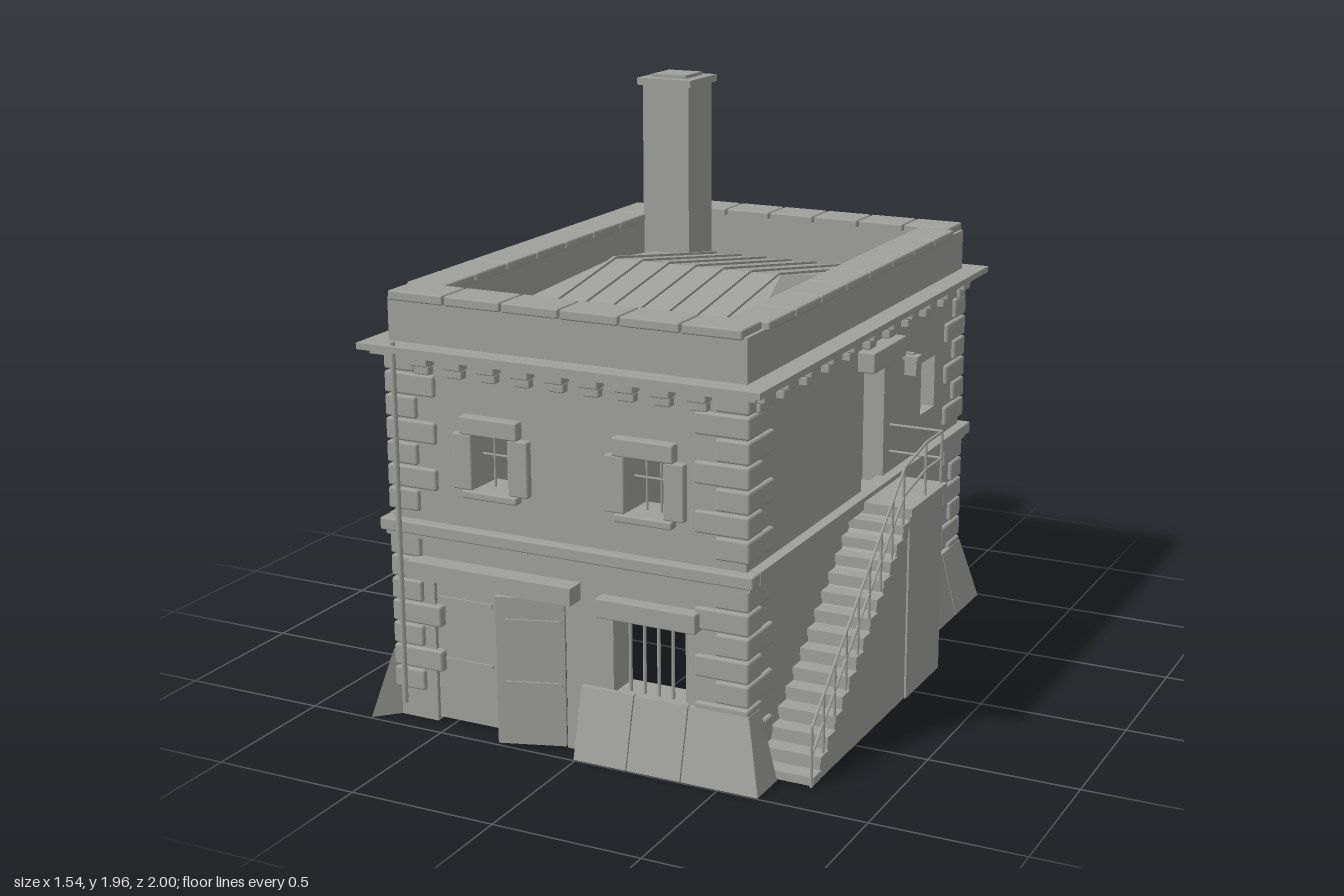
import * as THREE from 'three';
import { RoundedBoxGeometry } from 'three/addons/geometries/RoundedBoxGeometry.js';
import { ConvexGeometry } from 'three/addons/geometries/ConvexGeometry.js';

const stone = new THREE.MeshStandardMaterial({ color: 0xa0a09c, side: THREE.DoubleSide });
stone.name = 'grey stone';

// Wall extents: outer faces and thickness
const X0 = -0.7, X1 = 0.56, Z = 0.92, T = 0.125;

export function createModel() {
  const model = new THREE.Group();
  model.name = 'stoneHouse';
  const V = (x, y, z) => new THREE.Vector3(x, y, z);

  const add = (name, geo, parent = model) => {
    const m = new THREE.Mesh(geo, stone);
    m.name = name;
    parent.add(m);
    return m;
  };
  const group = (name) => {
    const g = new THREE.Group();
    g.name = name;
    model.add(g);
    return g;
  };
  // Box from min/max extents, optionally with softened edges
  const box = (name, x0, x1, y0, y1, z0, z1, parent = model, r = 0) => {
    const s = [x1 - x0, y1 - y0, z1 - z0];
    const m = add(name, r ? new RoundedBoxGeometry(...s, 1, r) : new THREE.BoxGeometry(...s), parent);
    m.position.set((x0 + x1) / 2, (y0 + y1) / 2, (z0 + z1) / 2);
    return m;
  };
  // Thin round bar between two points
  const bar = (name, a, b, r, parent) => {
    const d = b.clone().sub(a);
    const m = add(name, new THREE.CylinderGeometry(r, r, d.length(), 8), parent);
    m.position.copy(a).addScaledVector(d, 0.5);
    m.quaternion.setFromUnitVectors(V(0, 1, 0), d.normalize());
  };
  const poly = (pts) => new THREE.Shape(pts.map((p) => new THREE.Vector2(...p)));
  const wallGeo = (outline, holes) => {
    const s = poly(outline);
    for (const [a, b, c, d] of holes) s.holes.push(poly([[a, c], [a, d], [b, d], [b, c]]));
    return new THREE.ExtrudeGeometry(s, { depth: T, bevelEnabled: false });
  };

  // Walls and parapet
  const H = 1.42, W = Z - T;
  add('frontWall', wallGeo(
    [[X0, 0], [-0.56, 0], [-0.56, 0.51], [-0.07, 0.51], [-0.07, 0], [X1, 0], [X1, H], [X0, H]],
    [[-0.39, -0.255, 0.825, 1.01], [0.155, 0.29, 0.825, 1.01], [0.1, 0.36, 0.22, 0.48]])).position.z = W;
  add('backWall', wallGeo([[X0, 0], [X1, 0], [X1, H], [X0, H]], [[-0.165, 0.02, 0.22, 0.48]])).position.z = -Z;
  const side = [[-W, 0], [W, 0], [W, H], [-W, H]];
  const leftWall = add('leftWall', wallGeo(side, [[-0.02, 0.175, 0.67, 1.115], [0.525, 0.66, 0.82, 1.01]]).rotateY(Math.PI / 2));
  leftWall.position.x = X1 - T;
  add('rightWall', wallGeo(side, []).rotateY(Math.PI / 2)).position.x = X0;

  // Ring of four boxes around the walls
  const ring = (name, out, inn, y0, y1, r = 0) => {
    const g = group(name);
    for (const s of [-1, 1]) {
      const a = s * (Z + out), b = s * (Z - inn);
      box(name + 'Run', X0 - out, X1 + out, y0, y1, Math.min(a, b), Math.max(a, b), g, r);
    }
    box(name + 'Run', X0 - out, X0 + inn, y0, y1, -Z + inn, Z - inn, g);
    box(name + 'Run', X1 - inn, X1 + out, y0, y1, -Z + inn, Z - inn, g);
  };
  ring('cornice', 0.075, 0.02, 1.257, 1.278);
  ring('corniceMoulding', 0.045, 0.02, 1.24, 1.257);
  ring('midBand', 0.037, 0.02, 0.65, 0.692, 0.006);
  ring('midBandFoot', 0.022, 0.02, 0.635, 0.65);

  // Stepped corbels under the cornice
  const corbels = group('corbels');
  const corbel = (x, z, alongX) => {
    for (const [w, d, y0, y1] of [[0.033, 0.045, 1.215, 1.255], [0.028, 0.028, 1.185, 1.215]]) {
      const hx = alongX ? w : d, hz = alongX ? d : w;
      box('corbel', x - hx, x + hx, y0, y1, z - hz, z + hz, corbels, 0.005);
    }
  };
  for (let i = 0; i < 9; i++) for (const s of [-1, 1]) corbel(-0.565 + i * 0.122, s * Z, true);
  for (let i = -5; i <= 5; i++) for (const x of [X0, X1]) corbel(x, i * 0.172, false);

  // Alternating corner quoins
  const quoins = group('quoins');
  for (let i = -1; i <= 13; i++) {
    if (i === 6) continue;
    const y = 1.145 - i * 0.0775, even = i % 2 === 0;
    const w = even ? 0.185 : 0.115, d = even ? 0.105 : 0.185, h = 0.036;
    for (const s of [-1, 1]) {
      const z0 = s > 0 ? Z + 0.015 - d : -Z - 0.015;
      box('quoin', X0 - 0.015, X0 - 0.015 + w, y - h, y + h, z0, z0 + d, quoins, 0.008);
      box('quoin', X1 + 0.015 - w, X1 + 0.015, y - h, y + h, z0, z0 + d, quoins, 0.008);
    }
  }

  // Coping stones on the parapet
  const coping = group('coping');
  const cx0 = X0 - 0.012, cx1 = X1 + 0.012, cz = Z + 0.015;
  for (const s of [-1, 1]) {
    const n = s > 0 ? 6 : 7, a = cx0 + 0.02, step = (cx1 - cx0 - 0.04) / n;
    for (let i = 0; i < n; i++) {
      const z0 = s > 0 ? Z - T : -cz;
      box('copingStone', a + i * step + 0.003, a + (i + 1) * step - 0.003, 1.413, 1.445, z0, z0 + cz - W, coping, 0.006);
    }
  }
  for (let i = 0; i < 8; i++) {
    const z = -W + i * W / 4;
    box('copingStone', cx0, X0 + T + 0.003, 1.413, 1.442, z + 0.003, z + W / 4 - 0.003, coping, 0.006);
    box('copingStone', X1 - T - 0.003, cx1, 1.413, 1.442, z + 0.003, z + W / 4 - 0.003, coping, 0.006);
  }

  // Hipped roof with seams
  const roof = group('roof'), ey = 1.27, ry = 1.4;
  const c = [V(-0.585, ey, 0.8), V(0.445, ey, 0.8), V(0.445, ey, -0.8), V(-0.585, ey, -0.8), V(-0.39, ry, 0), V(0.25, ry, 0)];
  const tri = [0, 1, 5, 0, 5, 4, 2, 3, 4, 2, 4, 5, 1, 2, 5, 3, 0, 4];
  const roofGeo = new THREE.BufferGeometry().setFromPoints(tri.map((i) => c[i]));
  roofGeo.computeVertexNormals();
  add('roofPlanes', roofGeo, roof);
  const tilt = Math.atan2(ry - ey, 0.8);
  for (let i = 0; i < 7; i++) for (const s of [-1, 1]) {
    const m = add('roofSeam', new THREE.BoxGeometry(0.012, 0.016, 0.81), roof);
    m.position.set(-0.38 + i * 0.103, (ry + ey) / 2, s * 0.4);
    m.rotation.x = s * tilt;
  }

  // Chimney
  box('chimneyShaft', -0.577, -0.39, 1.25, 1.925, -0.78, -0.59);
  box('chimneyCap', -0.592, -0.375, 1.922, 1.948, -0.795, -0.575);
  box('chimneyTop', -0.552, -0.415, 1.948, 1.96, -0.755, -0.615);

  // Battered plinth: stones run along a side, mitred at the corners
  const plinth = group('plinth');
  const run = (a, b, n, mitreA, mitreB, place) => {
    for (let i = 0; i < n; i++) {
      const p = a + (b - a) * i / n + 0.002, q = a + (b - a) * (i + 1) / n - 0.002;
      const e0 = i === 0 && mitreA, e1 = i === n - 1 && mitreB;
      const pts = [];
      for (const [out, y] of [[0, 0], [0.075, 0], [0.017, 0.23], [0, 0.23]])
        pts.push(place(p - (e0 ? out : 0), y, out), place(q + (e1 ? out : 0), y, out));
      add('plinthStone', new ConvexGeometry(pts), plinth);
    }
  };
  run(-0.01, X1, 3, false, true, (u, y, o) => V(u, y, Z + o));
  run(X0, X1, 7, true, true, (u, y, o) => V(u, y, -Z - o));
  run(-Z, Z, 10, true, true, (u, y, o) => V(X0 - o, y, u));
  run(-Z, -0.24, 4, true, false, (u, y, o) => V(X1 + o, y, u));
  run(0.85, Z, 1, false, true, (u, y, o) => V(X1 + o, y, u));

  // Upper front windows
  for (const x of [-0.3225, 0.2225]) {
    const g = group('upperWindow');
    for (const s of [-1, 1]) {
      const j = x + s * 0.102;
      box('jamb', j - 0.035, j + 0.035, 0.825, 1.01, Z - 0.05, Z + 0.025, g, 0.006);
    }
    box('lintel', x - 0.105, x + 0.105, 1.01, 1.07, Z - 0.03, Z + 0.035, g, 0.006);
    box('sill', x - 0.1, x + 0.1, 0.8, 0.826, Z - 0.05, Z + 0.035, g, 0.006);
    for (const d of [-0.025, 0.025]) bar('windowBar', V(x + d, 0.82, 0.87), V(x + d, 1.01, 0.87), 0.004, g);
    bar('windowBar', V(x - 0.07, 0.93, 0.87), V(x + 0.07, 0.93, 0.87), 0.004, g);
  }

  // Lower barred window
  const low = group('lowerWindow');
  box('lintel', 0.06, 0.408, 0.48, 0.545, Z - 0.03, Z + 0.045, low, 0.005);
  for (let i = 0; i < 5; i++) bar('windowBar', V(0.14 + i * 0.05, 0.22, 0.88), V(0.14 + i * 0.05, 0.48, 0.88), 0.006, low);

  // Double front door, one leaf ajar
  box('doorLintel', -0.617, -0.015, 0.512, 0.57, Z - 0.03, Z + 0.07);
  const leaf = (name, hingeX, dir, width, z, angle) => {
    const g = group(name);
    g.position.set(hingeX, 0, z);
    g.rotation.y = angle;
    const b = (n, a0, a1, y0, y1, z0, z1) => box(n, Math.min(dir * a0, dir * a1), Math.max(dir * a0, dir * a1), y0, y1, z0, z1, g);
    b('doorBoards', 0, width, 0.01, 0.508, -0.01, 0.01);
    for (const y of [0.22, 0.43]) b('hingeStrap', 0.01, width - 0.03, y - 0.006, y + 0.006, 0.01, 0.016);
  };
  leaf('closedDoorLeaf', -0.56, 1, 0.24, 0.895, 0);
  leaf('openDoorLeaf', -0.07, -1, 0.222, 0.925, 0.32);

  // Upper side door, its lintel and the lamp
  box('sideDoor', X1 - 0.1, X1 - 0.075, 0.67, 1.115, -0.175, 0.02);
  box('sideDoorLintel', X1 - 0.03, 0.62, 1.115, 1.185, -0.22, 0.065, model, 0.005);
  const lamp = group('lamp');
  box('lampBracket', X1, 0.64, 1.11, 1.122, -0.248, -0.238, lamp);
  box('lampShade', 0.612, 0.655, 1.045, 1.105, -0.262, -0.224, lamp);
  box('lampCap', 0.607, 0.66, 1.1, 1.112, -0.267, -0.219, lamp);

  // Landing and solid stair
  const stair = group('stair');
  box('landingBase', X1, 0.757, 0, 0.648, -0.24, 0.07, stair);
  box('landingSlab', X1, 0.768, 0.648, 0.676, -0.25, 0.08, stair);
  add('stairBase', new ConvexGeometry([X1, 0.75].flatMap((x) => [V(x, 0, 0.07), V(x, 0, 0.81), V(x, 0.635, 0.07)])), stair);
  for (let i = 0; i < 14; i++) {
    const z = 0.85 - i * 0.0557, y = 0.02 + i * 0.046;
    box('tread', X1, 0.757, y - 0.012, y + 0.012, z - 0.062, z, stair);
    box('riser', X1, 0.752, Math.max(0, y - 0.046), y, z - 0.06, z - 0.008, stair);
  }

  // Railing: top rail, middle rail and posts
  const railing = group('railing'), rx = 0.75, r = 0.005;
  for (const drop of [0, 0.095]) {
    const path = [V(rx, 0.2 - drop, 0.85), V(rx, 0.825 - drop, 0.11), V(rx, 0.86 - drop, -0.085), V(rx, 0.86 - drop, -0.235), V(X1, 0.86 - drop, -0.235)];
    for (let i = 0; i < 4; i++) bar('rail', path[i], path[i + 1], r, railing);
  }
  for (const z of [0.85, 0.76, 0.675, 0.585, 0.49, 0.4, 0.305, 0.21, 0.115]) {
    const top = 0.2 + (0.85 - z) * 0.845;
    bar('railPost', V(rx, Math.max(0, top - 0.2), z), V(rx, top, z), r, railing);
  }
  for (const z of [-0.085, -0.235]) bar('railPost', V(rx, 0.67, z), V(rx, 0.86, z), r, railing);

  // Drainpipe
  bar('drainpipe', V(-0.65, 0.07, 0.975), V(-0.65, 1.29, 0.975), 0.009, model);

  return model;
}
